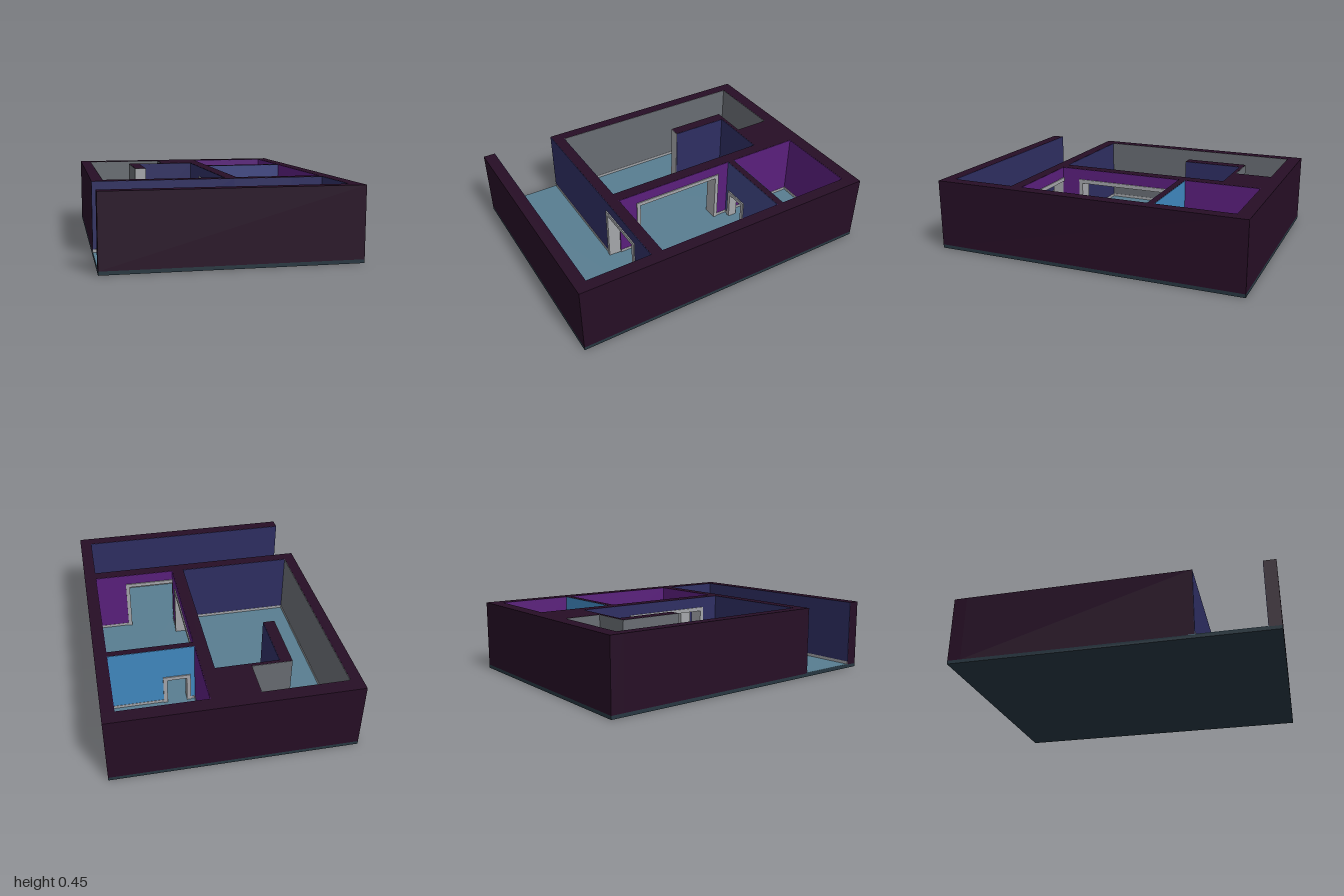
import * as THREE from 'three';

const mat = (name, color) => {
  const m = new THREE.MeshStandardMaterial({ color });
  m.name = name;
  return m;
};

export function createModel() {
  const M = {
    body: mat('dark plum wall', 0x260e25),
    slab: mat('slate slab', 0x263640),
    floor: mat('blue grey floor', 0x587d90),
    closet: mat('violet closet floor', 0x321259),
    navy: mat('navy paint', 0x2e2e62),
    blue: mat('dusk blue paint', 0x3f4684),
    sky: mat('bright blue paint', 0x4088c0),
    purple: mat('purple paint', 0x5a1f7c),
    grey: mat('grey paint', 0x686c72),
    trim: mat('light grey trim', 0xa4a6aa),
  };
  const H = 0.45, BASE = 0.022, T = 0.003;
  const model = new THREE.Group();
  model.name = 'floorPlan';

  // Box given by its limits on each axis
  const box = (name, m, x0, x1, y0, y1, z0, z1) => {
    const mesh = new THREE.Mesh(new THREE.BoxGeometry(x1 - x0, y1 - y0, z1 - z0), m);
    mesh.position.set((x0 + x1) / 2, (y0 + y1) / 2, (z0 + z1) / 2);
    mesh.name = name;
    model.add(mesh);
  };
  // Upright slab between p0 and p1 across, running a to b along x or z
  const upright = (name, m, along, p0, p1, a, b, y0, y1) => along === 'x'
    ? box(name, m, a, b, y0, y1, p0, p1)
    : box(name, m, p0, p1, y0, y1, a, b);
  // Upright slab with an optional doorway {a, b, top}
  const run = (name, m, along, p0, p1, a, b, door, y1 = H) => {
    if (!door) return upright(name, m, along, p0, p1, a, b, BASE, y1);
    if (door.a > a) upright(name, m, along, p0, p1, a, door.a, BASE, y1);
    if (door.b < b) upright(name, m, along, p0, p1, door.b, b, BASE, y1);
    upright(name + 'Lintel', m, along, p0, p1, a, b, door.top, y1);
  };
  // Thin paint on a wall face, with a skirting board; dir is the way it faces
  const paint = (name, m, along, at, dir, a, b, door) => {
    const span = d => dir > 0 ? [at, at + d] : [at - d, at];
    run(name, m, along, ...span(T), a, b, door, H - 0.001);
    const parts = door ? [[a, door.a], [door.b, b]] : [[a, b]];
    for (const [s, e] of parts) {
      if (e - s > 0.01) upright(name + 'Skirting', M.trim, along, ...span(T + 0.002), s, e, BASE, BASE + 0.022);
    }
  };
  // Casing lining a doorway and standing proud on both sides
  const casing = (name, along, p0, p1, d) => {
    const w = 0.025, o = 0.01;
    upright(name, M.trim, along, p0 - o, p1 + o, d.a, d.a + w, BASE, d.top);
    upright(name, M.trim, along, p0 - o, p1 + o, d.b - w, d.b, BASE, d.top);
    upright(name, M.trim, along, p0 - o, p1 + o, d.a + w, d.b - w, d.top - w, d.top);
  };

  // Slab and floors
  box('slab', M.slab, -0.755, 0.755, 0, BASE, -1, 1);
  const F = BASE + 0.003;
  box('livingFloor', M.floor, -0.685, 0.14, BASE, F, -0.637, 0.44);
  box('nookFloor', M.floor, -0.685, -0.378, BASE, F, -0.915, -0.641);
  box('closetFloor', M.closet, -0.333, -0.155, BASE, F, -0.915, -0.682);
  box('backRoomFloor', M.floor, 0.14, 0.68, BASE, F, -0.915, -0.41);
  box('middleRoomFloor', M.floor, 0.14, 0.68, BASE, F, -0.41, 0.475);
  box('porchFloor', M.floor, -0.755, 0.68, BASE, F, 0.475, 0.925);

  // Doorways
  const wide = { a: -0.31, b: 0.315, top: 0.38 };
  const entry = { a: 0.11, b: 0.475, top: 0.38 };
  const inner = { a: 0.17, b: 0.345, top: 0.23 };

  // Walls
  run('backWall', M.body, 'x', -1, -0.915, -0.755, 0.755);
  run('frontWall', M.body, 'x', 0.925, 1, -0.755, 0.755);
  run('leftSideWall', M.body, 'z', 0.68, 0.755, -0.915, 0.925);
  run('rightSideWall', M.body, 'z', -0.755, -0.685, -0.915, 0.51);
  run('porchWall', M.body, 'x', 0.44, 0.51, -0.685, 0.68, entry);
  run('centreWall', M.body, 'z', 0.065, 0.14, -0.915, 0.44, wide);
  run('dividingWall', M.body, 'x', -0.43, -0.39, 0.14, 0.68, inner);
  run('chimneyBlock', M.body, 'x', -0.915, -0.66, -0.155, 0.065);
  run('closetWall', M.body, 'x', -0.68, -0.66, -0.335, -0.155);
  run('stubWall', M.body, 'z', -0.405, -0.335, -0.68, -0.275);

  // Living room paint
  paint('livingSidePaint', M.grey, 'z', -0.685, 1, -0.915, 0.44);
  paint('livingBackPaint', M.grey, 'x', -0.915, 1, -0.685, -0.155);
  paint('livingFrontPaint', M.navy, 'x', 0.44, -1, -0.685, 0.065);
  paint('livingCentrePaint', M.navy, 'z', 0.065, -1, -0.66, 0.44, wide);
  paint('livingBlockPaint', M.navy, 'x', -0.66, 1, -0.335, 0.065);
  paint('stubInnerPaint', M.navy, 'z', -0.335, 1, -0.66, -0.275);
  paint('stubOuterPaint', M.grey, 'z', -0.405, -1, -0.68, -0.275);
  paint('stubEndPaint', M.trim, 'x', -0.275, 1, -0.405, -0.335);

  // Closet paint
  paint('closetFrontPaint', M.grey, 'x', -0.68, -1, -0.405, -0.155);
  paint('closetSidePaint', M.grey, 'z', -0.155, -1, -0.915, -0.68);

  // Back room paint
  paint('backRoomBackPaint', M.purple, 'x', -0.915, 1, 0.14, 0.68);
  paint('backRoomCentrePaint', M.purple, 'z', 0.14, 1, -0.915, -0.43);
  paint('backRoomSidePaint', M.purple, 'z', 0.68, -1, -0.915, -0.43);
  paint('backRoomFrontPaint', M.sky, 'x', -0.43, -1, 0.14, 0.68, inner);

  // Middle room paint
  paint('middleRoomBackPaint', M.blue, 'x', -0.39, 1, 0.14, 0.68, inner);
  paint('middleRoomCentrePaint', M.purple, 'z', 0.14, 1, -0.39, 0.44, wide);
  paint('middleRoomSidePaint', M.purple, 'z', 0.68, -1, -0.39, 0.44);
  paint('middleRoomFrontPaint', M.purple, 'x', 0.44, -1, 0.14, 0.68, entry);

  // Porch paint
  paint('porchBackPaint', M.navy, 'x', 0.51, 1, -0.755, 0.68, entry);
  paint('porchSidePaint', M.navy, 'z', 0.68, -1, 0.51, 0.925);
  paint('porchFrontPaint', M.navy, 'x', 0.925, -1, -0.755, 0.68);

  // Door casings
  casing('wideDoorCasing', 'z', 0.065, 0.14, wide);
  casing('entryDoorCasing', 'x', 0.44, 0.51, entry);
  casing('innerDoorCasing', 'x', -0.43, -0.39, inner);

  return model;
}
